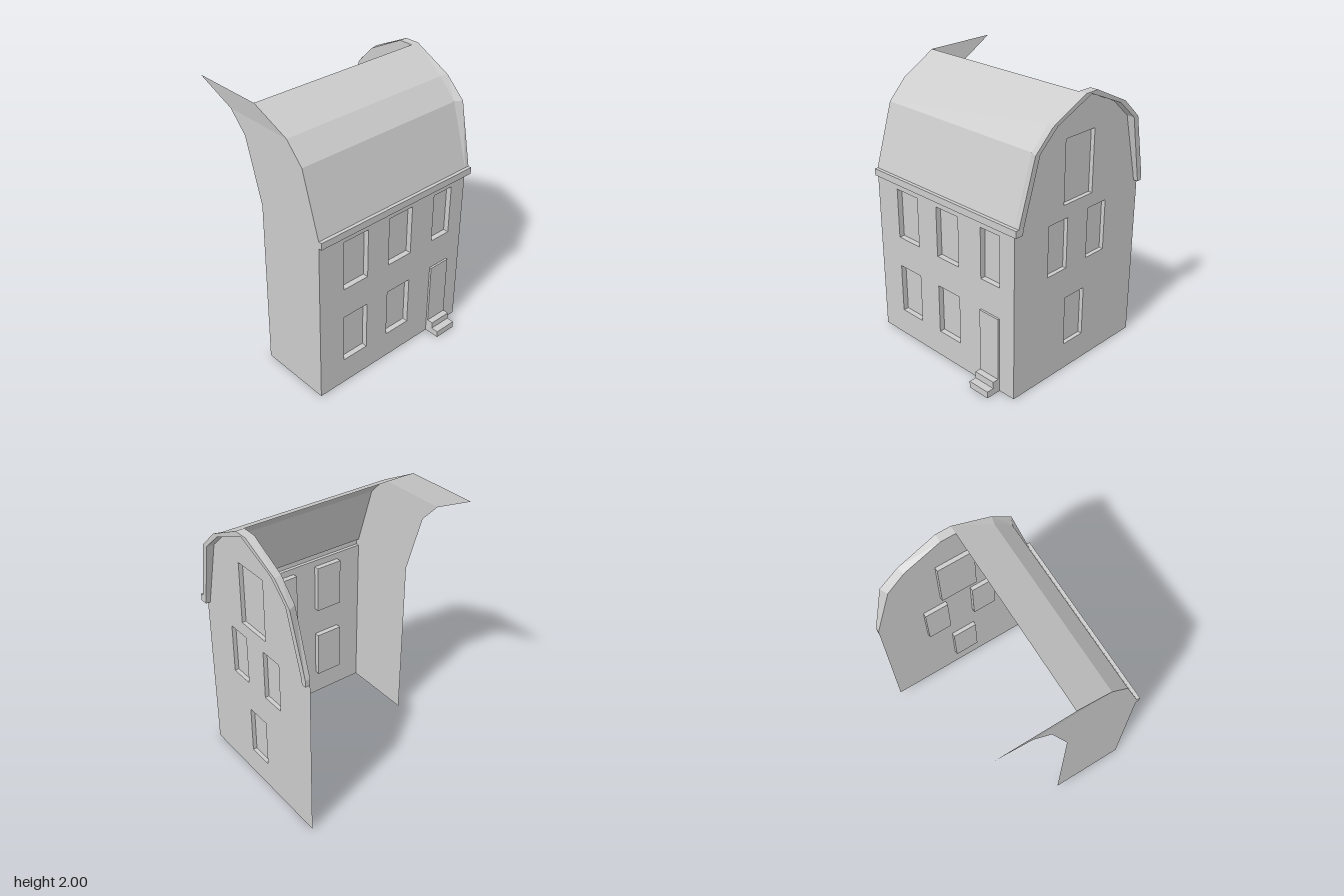
import * as THREE from 'three';

const mat = new THREE.MeshStandardMaterial({ color: 0xcccccc, flatShading: true, side: THREE.DoubleSide });

// Sheet lofted through rows of points; all rows have the same length
function loft(name, rows) {
  const pos = [];
  for (let r = 0; r < rows.length - 1; r++) {
    const a = rows[r], b = rows[r + 1];
    for (let i = 0; i < a.length - 1; i++) {
      pos.push(...a[i], ...b[i], ...b[i + 1], ...a[i], ...b[i + 1], ...a[i + 1]);
    }
  }
  const geo = new THREE.BufferGeometry();
  geo.setAttribute('position', new THREE.Float32BufferAttribute(pos, 3));
  geo.computeVertexNormals();
  const mesh = new THREE.Mesh(geo, mat);
  mesh.name = name;
  return mesh;
}

// Flat wall with recessed windows, each given as [x0, x1, y0, y1]
function wall(name, outline, windows, depth) {
  const group = new THREE.Group();
  group.name = name;
  const shape = new THREE.Shape(outline.map(p => new THREE.Vector2(...p)));
  for (const [x0, x1, y0, y1] of windows) {
    const loop = [[x0, y0], [x1, y0], [x1, y1], [x0, y1], [x0, y0]];
    shape.holes.push(new THREE.Path(loop.slice(0, 4).map(p => new THREE.Vector2(...p))));
    group.add(loft('windowReveal', [loop.map(p => [...p, -depth]), loop.map(p => [...p, 0])]));
    const pane = new THREE.Mesh(new THREE.PlaneGeometry(x1 - x0, y1 - y0), mat);
    pane.name = 'windowPane';
    pane.position.set((x0 + x1) / 2, (y0 + y1) / 2, -depth);
    group.add(pane);
  }
  const face = new THREE.Mesh(new THREE.ShapeGeometry(shape), mat);
  face.name = name + 'Face';
  group.add(face);
  return group;
}

export function createModel() {
  const house = new THREE.Group();
  house.name = 'house';
  const L = -0.685, R = 0.64, F = 0.55, B = -0.66, MID = -0.055;
  const leftX = y => (y > 1.9 ? -0.705 : L);
  const mirrorZ = z => 2 * MID - z;

  // Front wall with a notch for the door
  const frontWindows = [];
  for (const [x0, x1] of [[-0.48, -0.27], [-0.08, 0.13], [0.34, 0.51]]) {
    frontWindows.push([x0, x1, 0.8, 1.17]);
    if (x0 < 0.3) frontWindows.push([x0, x1, 0.2, 0.57]);
  }
  const front = wall('frontWall',
    [[L, 0], [0.34, 0], [0.34, 0.57], [0.51, 0.57], [0.51, 0], [R, 0], [R, 1.22], [L, 1.22]],
    frontWindows, 0.04);
  front.position.z = F;
  house.add(front);

  // Door and doorstep as one swept profile [z, y], with side cheeks
  const step = [[0.665, 0], [0.665, 0.05], [0.61, 0.05], [0.61, 0.1], [0.565, 0.1], [0.565, 0.57], [F, 0.57]];
  const stepRow = x => step.map(([z, y]) => [x, y, z]);
  house.add(loft('doorAndSteps', [stepRow(0.34), stepRow(0.51)]));
  for (const x of [0.34, 0.51]) {
    house.add(loft('doorSide', [stepRow(x), step.map(([, y]) => [x, y, F])]));
  }

  // Cornice along the eaves
  const cornice = [[F, 1.22], [0.575, 1.22], [0.575, 1.27], [F, 1.27]];
  const corniceRow = x => cornice.map(([z, y]) => [x, y, z]);
  house.add(loft('cornice', [corniceRow(L), corniceRow(0.675)]));
  for (const x of [L, 0.675]) {
    house.add(loft('corniceEnd', [
      [[x, 1.22, F], [x, 1.27, F]], [[x, 1.22, 0.575], [x, 1.27, 0.575]]]));
  }

  // Front half of the gambrel roof, profile [z, y]
  const roof = [[F, 1.27], [0.41, 1.72], [0.275, 1.86], [0, 2]];
  house.add(loft('roof', [
    roof.map(([z, y]) => [leftX(y), y, z]),
    roof.map(([z, y]) => [R, y, z])]));

  // Left wall: the front edge swept straight back by half the depth
  const edge = [[F, 0], [F, 1.22], ...roof];
  house.add(loft('leftWall', [
    edge.map(([z, y]) => [leftX(y), y, z]),
    edge.map(([z, y]) => [leftX(y), y, z - F])]));

  // Full right gable wall; its local x runs toward the back
  const half = [[F, 0], [F, 1.22], ...roof];
  const gableOutline = [
    ...half.map(([z, y]) => [-z, y]),
    ...half.slice().reverse().map(([z, y]) => [-mirrorZ(z), y])];
  const gable = wall('rightWall', gableOutline, [
    [-0.1, 0.175, 1.27, 1.72], [-0.24, -0.06, 0.8, 1.17],
    [0.14, 0.32, 0.8, 1.17], [-0.06, 0.13, 0.2, 0.57]], 0.03);
  gable.rotation.y = Math.PI / 2;
  gable.position.x = R;
  house.add(gable);

  // Gable trim stations: [wall z, outer z, outer y, inner z, inner y, outer x]
  const trim = [
    [F, F, 1.22, 0.515, 1.22, 0.675],
    [F, F, 1.27, 0.505, 1.27, 0.675],
    [0.41, 0.438, 1.72, 0.395, 1.72, 0.697],
    [0.275, 0.29, 1.86, 0.245, 1.855, 0.697],
    [0, 0, 2, MID, 1.987, 0.702]];
  const back = trim.slice().reverse().map(([w, o, oy, i, iy, x]) =>
    [mirrorZ(w), mirrorZ(o), oy, mirrorZ(i), iy, x]);
  const sections = [...trim, ...back].map(([w, o, oy, i, iy, x]) =>
    [[R, oy, w], [x, oy, o], [x, iy, i], [R, iy, i]]);
  house.add(loft('gableTrim', sections));
  for (const s of [sections[0], sections[sections.length - 1]]) {
    house.add(loft('gableTrimEnd', [[s[0], s[3]], [s[1], s[2]]]));
  }
  return house;
}
